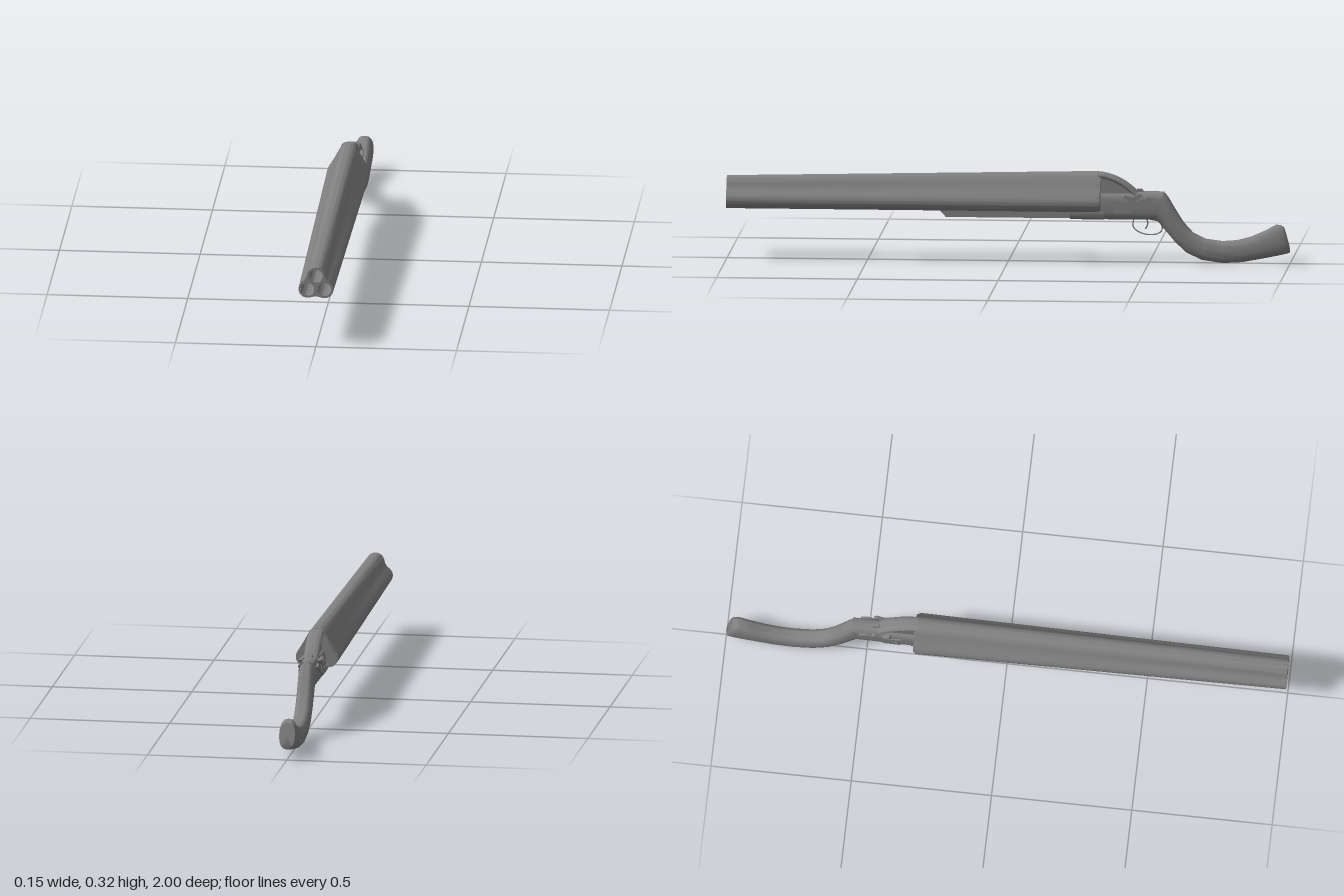
import * as THREE from 'three';
import { toCreasedNormals } from 'three/addons/utils/BufferGeometryUtils.js';

const COLOR = 0x808080;
const material = new THREE.MeshStandardMaterial({ color: COLOR });
const doubleSided = new THREE.MeshStandardMaterial({ color: COLOR, side: THREE.DoubleSide });

function part(name, geometry, mat = material) {
  const mesh = new THREE.Mesh(geometry, mat);
  mesh.name = name;
  return mesh;
}

// Skin over rings listed front to back, each counter-clockwise seen from the front
function loft(rings, capFront = true, capBack = true) {
  const n = rings[0].length, pos = [], index = [];
  rings.forEach(ring => ring.forEach(p => pos.push(p.x, p.y, p.z)));
  for (let i = 0; i < rings.length - 1; i++) {
    for (let j = 0; j < n; j++) {
      const a = i * n + j, b = i * n + (j + 1) % n;
      index.push(a, a + n, b, b, a + n, b + n);
    }
  }
  const cap = (i, front) => {
    const c = new THREE.Vector3();
    rings[i].forEach(p => c.addScaledVector(p, 1 / n));
    const k = pos.length / 3;
    pos.push(c.x, c.y, c.z);
    for (let j = 0; j < n; j++) {
      const a = i * n + j, b = i * n + (j + 1) % n;
      index.push(k, front ? a : b, front ? b : a);
    }
  };
  if (capFront) cap(0, true);
  if (capBack) cap(rings.length - 1, false);
  const g = new THREE.BufferGeometry();
  g.setAttribute('position', new THREE.Float32BufferAttribute(pos, 3));
  g.setIndex(index);
  return toCreasedNormals(g, 0.7);
}

// Rounded section between an upper and a lower point [z, y]
function section([zu, yu, zl, yl, w], power, n = 28) {
  const soft = v => Math.sign(v) * Math.abs(v) ** power;
  return Array.from({ length: n }, (_, j) => {
    const t = j / n * Math.PI * 2, s = soft(Math.sin(t));
    return new THREE.Vector3(w * soft(Math.cos(t)),
      (yu + yl) / 2 + s * (yu - yl) / 2, (zu + zl) / 2 + s * (zu - zl) / 2);
  });
}
const sections = (rows, power) => loft(rows.map(row => section(row, power)));

// Flat side profile of [z, y] points given thickness across x
function plate(points, halfWidth, x = 0) {
  const shape = new THREE.Shape(points.map(([z, y]) => new THREE.Vector2(z, y)));
  const g = new THREE.ExtrudeGeometry(shape, { depth: 2 * halfWidth, bevelEnabled: false });
  return toCreasedNormals(g.translate(0, 0, -halfWidth).rotateY(-Math.PI / 2).translate(x, 0, 0), 0.5);
}

// Barrel cluster: one barrel on top of two, tapering to the muzzle
const FRONT = 1, BREECH = -0.32;
const mix = THREE.MathUtils.lerp;
function barrelCentres(k) {
  const x = mix(0.03, 0.042, k), y = mix(0.215, 0.218, k);
  return [[x, y], [0, mix(0.264, 0.291, k)], [-x, y]];
}
function clusterRing(k, z) {
  const c = barrelCentres(k), r = mix(0.032, 0.034, k), dip = mix(0.006, 0.001, k);
  const stops = [-90, 31, 149, 270].map(THREE.MathUtils.degToRad);
  const at = (i, a) => new THREE.Vector2(c[i][0] + r * Math.cos(a), c[i][1] + r * Math.sin(a));
  const ring = [];
  for (let i = 0; i < 3; i++) {
    for (let s = 0; s <= 12; s++) ring.push(at(i, mix(stops[i], stops[i + 1], s / 12)));
    const a = stops[i + 1], from = at(i, a), to = at((i + 1) % 3, a);
    for (let s = 1; s < 6; s++) {
      const p = from.clone().lerp(to, s / 6), d = dip * Math.sin(Math.PI * s / 6) ** 2;
      ring.push(p.add(new THREE.Vector2(-Math.cos(a) * d, -Math.sin(a) * d)));
    }
  }
  return ring.map(p => new THREE.Vector3(p.x, p.y, z));
}

function buildBarrels() {
  const group = new THREE.Group();
  group.name = 'barrels';
  const rings = [0, 0.25, 0.5, 0.75, 1].map(k => clusterRing(k, mix(FRONT, BREECH, k)));
  group.add(part('barrelSkin', loft(rings, false, true)));

  // Muzzle face with three open bores; the upper bore rises to the breech
  const boreRadius = 0.024;
  const face = new THREE.Shape(rings[0].map(p => new THREE.Vector2(p.x, p.y)));
  barrelCentres(0).forEach(([x, y], i) => {
    face.holes.push(new THREE.Path().absarc(x, y, boreRadius, 0, Math.PI * 2, true));
    const circle = (cy, z) => Array.from({ length: 24 }, (_, j) => {
      const a = j / 24 * Math.PI * 2;
      return new THREE.Vector3(x + boreRadius * Math.cos(a), cy + boreRadius * Math.sin(a), z);
    });
    const backY = i === 1 ? y + 0.025 : y;
    group.add(part('bore' + i, loft([circle(y, FRONT), circle(backY, BREECH + 0.03)], false, true), doubleSided));
  });
  group.add(part('muzzleFace', new THREE.ShapeGeometry(face, 24).translate(0, 0, FRONT)));
  return group;
}

export function createModel() {
  const model = new THREE.Group();
  model.add(buildBarrels());

  // Slim fore-end under the barrels
  model.add(part('foreEnd', plate([[0.25, 0.188], [0.222, 0.157], [-0.23, 0.157], [-0.23, 0.192], [0.25, 0.192]], 0.014)));

  // Receiver: low bar under the barrels, then the action body
  model.add(part('receiverBar', sections([
    [-0.22, 0.205, -0.22, 0.153, 0.031], [-0.34, 0.205, -0.34, 0.153, 0.033]], 0.7)));
  model.add(part('receiverBody', sections([
    [-0.318, 0.25, -0.318, 0.154, 0.033], [-0.4, 0.25, -0.4, 0.154, 0.032],
    [-0.47, 0.254, -0.47, 0.154, 0.031], [-0.553, 0.254, -0.53, 0.154, 0.03]], 0.6)));

  // Standing breech: rounded spine over a thinner, recessed web
  const curve = new THREE.QuadraticBezierCurve(new THREE.Vector2(-0.318, 0.324),
    new THREE.Vector2(-0.4, 0.318), new THREE.Vector2(-0.462, 0.252));
  const steps = Array.from({ length: 15 }, (_, i) => i / 14);
  model.add(part('breechSpine', sections(steps.map(t => {
    const p = curve.getPoint(t), d = curve.getTangent(t).multiplyScalar(0.024);
    return [p.x, p.y, p.x - d.y, p.y + d.x, 0.027];
  }), 0.9)));
  model.add(part('breechWeb', plate([...curve.getPoints(14).map(p => [p.x, p.y - 0.01]), [-0.46, 0.2], [-0.318, 0.2]], 0.018)));
  const flange = [0, 1].map(i => clusterRing(1, BREECH - 0.008 * i).map(p =>
    new THREE.Vector3(p.x * 0.93, 0.245 + (p.y - 0.245) * 0.95, p.z)));
  model.add(part('breechFlange', loft(flange)));

  // Lock plates, hammers and pins on both sides
  for (const side of [1, -1]) {
    const lock = new THREE.Group();
    lock.name = side > 0 ? 'leftLock' : 'rightLock';
    lock.add(part('lockPlate', plate([[-0.375, 0.225], [-0.375, 0.178], [-0.43, 0.18], [-0.525, 0.232], [-0.5, 0.238], [-0.44, 0.215]], 0.005, side * 0.031)));
    lock.add(part('hammer', plate([[-0.425, 0.2], [-0.45, 0.198], [-0.455, 0.225], [-0.478, 0.244], [-0.468, 0.25], [-0.44, 0.237], [-0.415, 0.245], [-0.41, 0.236], [-0.43, 0.225]], 0.006, side * 0.033)));
    for (const [z, y] of [[-0.392, 0.198], [-0.44, 0.207], [-0.24, 0.178]]) {
      const pin = part('pin', new THREE.CylinderGeometry(0.005, 0.005, 0.012, 12));
      pin.rotation.z = Math.PI / 2;
      pin.position.set(side * (z < -0.3 ? 0.034 : 0.028), y, z);
      lock.add(pin);
    }
    model.add(lock);
  }

  // Opening lever knob on the top tang
  model.add(part('topLever', plate([[-0.452, 0.248], [-0.456, 0.263], [-0.474, 0.263], [-0.484, 0.248]], 0.008)));

  // Trigger guard and trigger
  const tube = (points, steps, radius) => new THREE.TubeGeometry(
    new THREE.CatmullRomCurve3(points.map(([z, y]) => new THREE.Vector3(0, y, z))), steps, radius, 8);
  model.add(part('triggerGuard', tube([[-0.445, 0.158], [-0.442, 0.13], [-0.458, 0.112],
    [-0.495, 0.1], [-0.53, 0.104], [-0.545, 0.118], [-0.54, 0.15]], 36, 0.0022)));
  model.add(part('trigger', tube([[-0.49, 0.16], [-0.494, 0.138], [-0.486, 0.12]], 10, 0.0025)));

  // Curved pistol grip with a softly rounded butt: upper z, y, lower z, y, half width
  model.add(part('grip', sections([
    [-0.552, 0.254, -0.49, 0.155, 0.029], [-0.567, 0.236, -0.53, 0.148, 0.03],
    [-0.592, 0.193, -0.558, 0.115, 0.03], [-0.622, 0.145, -0.59, 0.077, 0.03],
    [-0.655, 0.109, -0.63, 0.039, 0.03], [-0.7, 0.087, -0.685, 0.012, 0.03],
    [-0.76, 0.079, -0.76, 0.001, 0.03], [-0.81, 0.083, -0.83, 0.005, 0.03],
    [-0.86, 0.096, -0.895, 0.017, 0.03], [-0.91, 0.118, -0.955, 0.029, 0.031],
    [-0.95, 0.14, -0.99, 0.037, 0.031], [-0.967, 0.138, -0.998, 0.04, 0.03],
    [-0.977, 0.131, -1, 0.045, 0.027]], 0.8)));

  return model;
}
